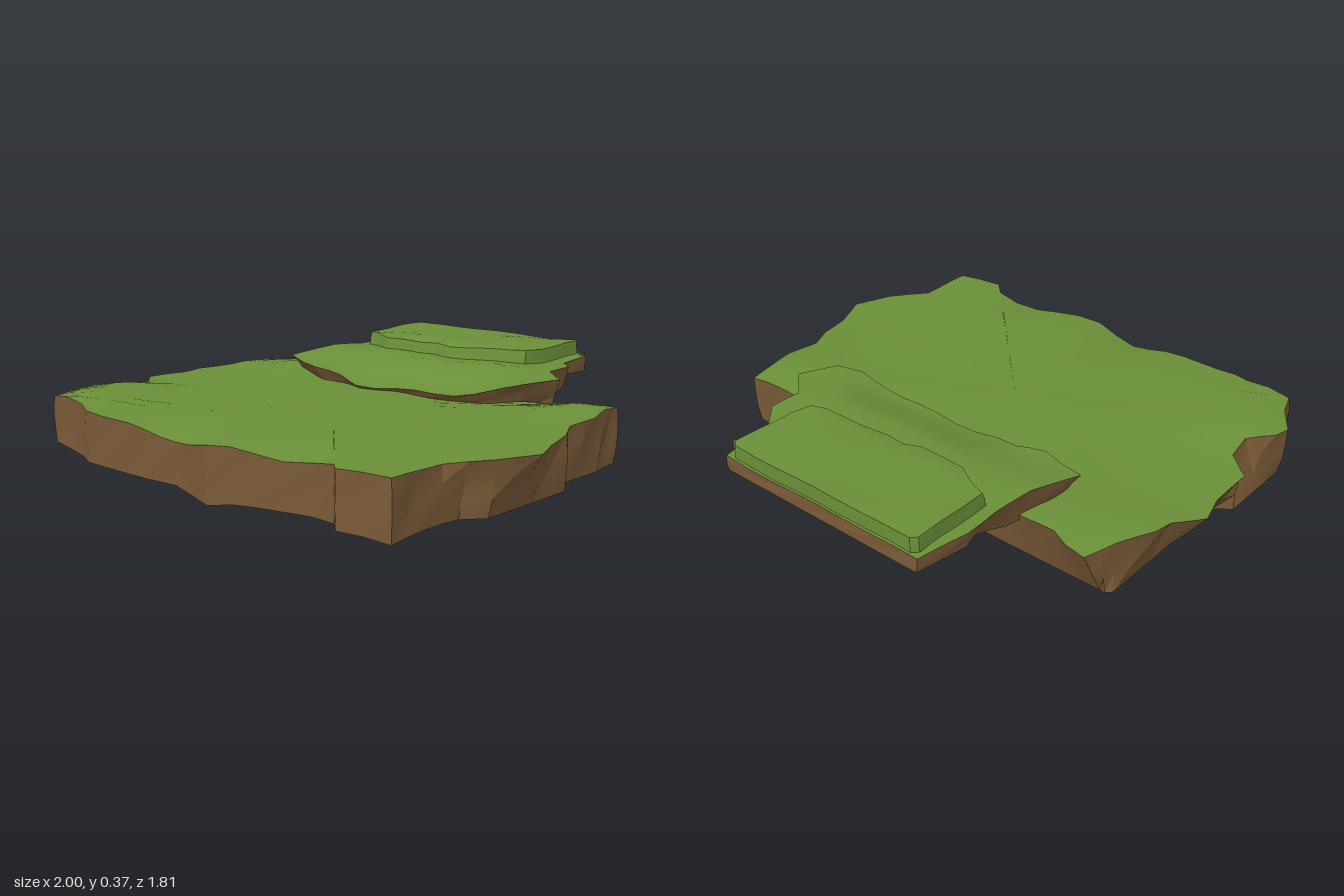
import * as THREE from 'three';
import { toCreasedNormals } from 'three/addons/utils/BufferGeometryUtils.js';

const grass = new THREE.MeshStandardMaterial({ color: 0x6a8f38, side: THREE.DoubleSide });
const earth = new THREE.MeshStandardMaterial({ color: 0x7a5a38, side: THREE.DoubleSide });

const clamp = THREE.MathUtils.clamp;
const smooth = THREE.MathUtils.smoothstep;
const hill = (x, z, cx, cz, rx, rz, h) => h * Math.exp(-(((x - cx) / rx) ** 2) - ((z - cz) / rz) ** 2);
const ripple = (x, z) => Math.sin(x * 11 + z * 4) * Math.cos(z * 13 - x * 3);

// Mesh joining successive rings of equal length, listed from below to above
function loft(name, rings, material) {
  const n = rings[0].length, pos = [], index = [];
  rings.forEach(r => r.forEach(p => pos.push(...p)));
  for (let r = 0; r < rings.length - 1; r++) {
    for (let i = 0; i < n; i++) {
      const a = r * n + i, b = r * n + (i + 1) % n;
      index.push(a, a + n, b, b, a + n, b + n);
    }
  }
  const g = new THREE.BufferGeometry();
  g.setAttribute('position', new THREE.Float32BufferAttribute(pos, 3));
  g.setIndex(index);
  const mesh = new THREE.Mesh(toCreasedNormals(g, 0.35), material);
  mesh.name = name;
  return mesh;
}

// Split every outline edge so no side is longer than step
function refine(outline, step) {
  const out = [];
  outline.forEach(([x, z], i) => {
    const [u, v] = outline[(i + 1) % outline.length];
    const k = Math.ceil(Math.hypot(u - x, v - z) / step);
    for (let j = 0; j < k; j++) out.push([x + (u - x) * j / k, z + (v - z) * j / k]);
  });
  return out;
}

// Uneven slab: turf on top, rough wall, and an underside
function slab({ name, outline, center, top, bottom, foot, wall, under, bulge }) {
  const [cx, cz] = center;
  const edge = refine(outline, 0.11), base = edge.map(([x, z]) => foot(x, z));
  const ring = (pts, s, height) => pts.map(([x, z]) => {
    const px = cx + (x - cx) * s, pz = cz + (z - cz) * s;
    return [px, height(px, pz), pz];
  });
  const low = ring(base, 1, bottom), high = ring(edge, 1, top);
  const between = t => low.map((p, i) => {
    const q = high[i], w = bulge * Math.sin(i * 2.3 + t * 4);
    return [
      p[0] + (q[0] - p[0]) * t + w * Math.sign(p[0] - cx) * Math.min(1, Math.abs(p[0] - cx)),
      p[1] + (q[1] - p[1]) * t,
      p[2] + (q[2] - p[2]) * t + w * Math.sign(p[2] - cz) * 0.5,
    ];
  });
  const scales = [1, 0.95, 0.86, 0.74, 0.6, 0.45, 0.3, 0.15, 0];
  const group = new THREE.Group();
  group.name = name;
  group.add(
    loft(name + 'Top', scales.map(s => ring(edge, s, top)), grass),
    loft(name + 'Wall', [low, between(0.35), between(0.7), high], wall),
    loft(name + 'Underside', [0, 0.3, 0.55, 0.8, 1].map(s => ring(base, s, bottom)), under),
  );
  return group;
}

export function createModel() {
  const model = new THREE.Group();
  model.name = 'terracedGround';

  // Broad lower ground
  model.add(slab({
    name: 'lowerGround',
    center: [0, 0.2],
    outline: [
      [-0.82, -0.47], [-0.74, -0.46], [-0.67, -0.43], [-0.55, -0.43], [-0.3, -0.38], [0, -0.37],
      [0.6, -0.37], [0.83, -0.39], [0.84, -0.28], [0.87, -0.17], [0.86, -0.03], [0.91, 0.07],
      [0.94, 0.2], [1, 0.34], [0.94, 0.49], [0.84, 0.63], [0.84, 0.86], [0.65, 0.89],
      [0.6, 0.84], [0.5, 0.83], [0.3, 0.87], [0.1, 0.9], [0, 0.88], [-0.1, 0.86],
      [-0.25, 0.87], [-0.58, 0.86], [-0.65, 0.83], [-0.84, 0.81], [-0.87, 0.72], [-0.94, 0.62],
      [-0.93, 0.55], [-0.86, 0.45], [-0.87, 0.35], [-0.97, 0.26], [-0.97, 0.08], [-1, -0.03],
      [-0.93, -0.14], [-0.92, -0.22], [-0.86, -0.35],
    ],
    top: (x, z) => 0.212 + 0.005 * ripple(x, z)
      + hill(x, z, -0.76, 0.62, 0.14, 0.25, 0.04) + hill(x, z, 0.74, -0.2, 0.14, 0.2, 0.035)
      + hill(x, z, -0.72, -0.3, 0.2, 0.2, 0.025) + hill(x, z, -0.1, 0.9, 0.16, 0.12, -0.045)
      + hill(x, z, 0.42, 0.88, 0.16, 0.1, -0.025),
    bottom: (x, z) => 0.025 + hill(x, z, 0.08, 0.9, 0.1, 0.06, -0.025)
      + hill(x, z, 0.84, 0.86, 0.07, 0.07, -0.012) + hill(x, z, -0.85, 0.82, 0.16, 0.08, 0.03),
    foot: (x, z) => [
      x < -0.84 && z > 0.3 && z < 0.65 ? -0.92 : clamp(x, -0.86, x > 0.9 ? 0.91 : 0.85),
      Math.max(z, -0.37),
    ],
    wall: earth, under: grass, bulge: 0.008,
  }));

  // Overhanging middle terrace
  model.add(slab({
    name: 'middleTerrace',
    center: [-0.03, -0.5],
    outline: [
      [-0.51, -0.9], [0.37, -0.9], [0.38, -0.84], [0.42, -0.83], [0.42, -0.67], [0.5, -0.58],
      [0.5, -0.45], [0.61, -0.35], [0.55, -0.2], [0.47, -0.15], [0.2, -0.13], [0, -0.14],
      [-0.17, -0.11], [-0.28, -0.14], [-0.4, -0.125], [-0.6, -0.19], [-0.55, -0.4],
      [-0.53, -0.55], [-0.54, -0.7],
    ],
    top: (x, z) => {
      const front = 0.225 + 0.2 * x * x + 0.008 * Math.sin(x * 14);
      return THREE.MathUtils.lerp(front, 0.31, smooth(-z, 0.12, 0.42)) + 0.006 * ripple(x, z);
    },
    bottom: (x, z) => 0.19 + 0.065 * smooth(-z, 0.42, 0.7) + 0.15 * x * x * (1 - smooth(-z, 0.2, 0.45)),
    foot: (x, z) => [x * (z > -0.7 ? 0.95 : 0.99), z > -0.3 ? z - 0.03 : z],
    wall: earth, under: earth, bulge: 0.006,
  }));

  // Raised grassy cap
  model.add(slab({
    name: 'upperTerrace',
    center: [-0.07, -0.7],
    outline: [
      [-0.47, -0.89], [0.33, -0.89], [0.35, -0.87], [0.35, -0.61], [0.33, -0.54], [0.28, -0.52],
      [0.12, -0.51], [0, -0.49], [-0.08, -0.505], [-0.14, -0.48], [-0.33, -0.485],
      [-0.42, -0.54], [-0.48, -0.56], [-0.49, -0.87],
    ],
    top: (x, z) => 0.364 + 0.006 * ripple(x, z) - 0.012 * smooth(z, -0.56, -0.48),
    bottom: () => 0.295,
    foot: (x, z) => [x * 1.01, z > -0.6 ? z + 0.015 : z],
    wall: grass, under: grass, bulge: 0.003,
  }));

  return model;
}
